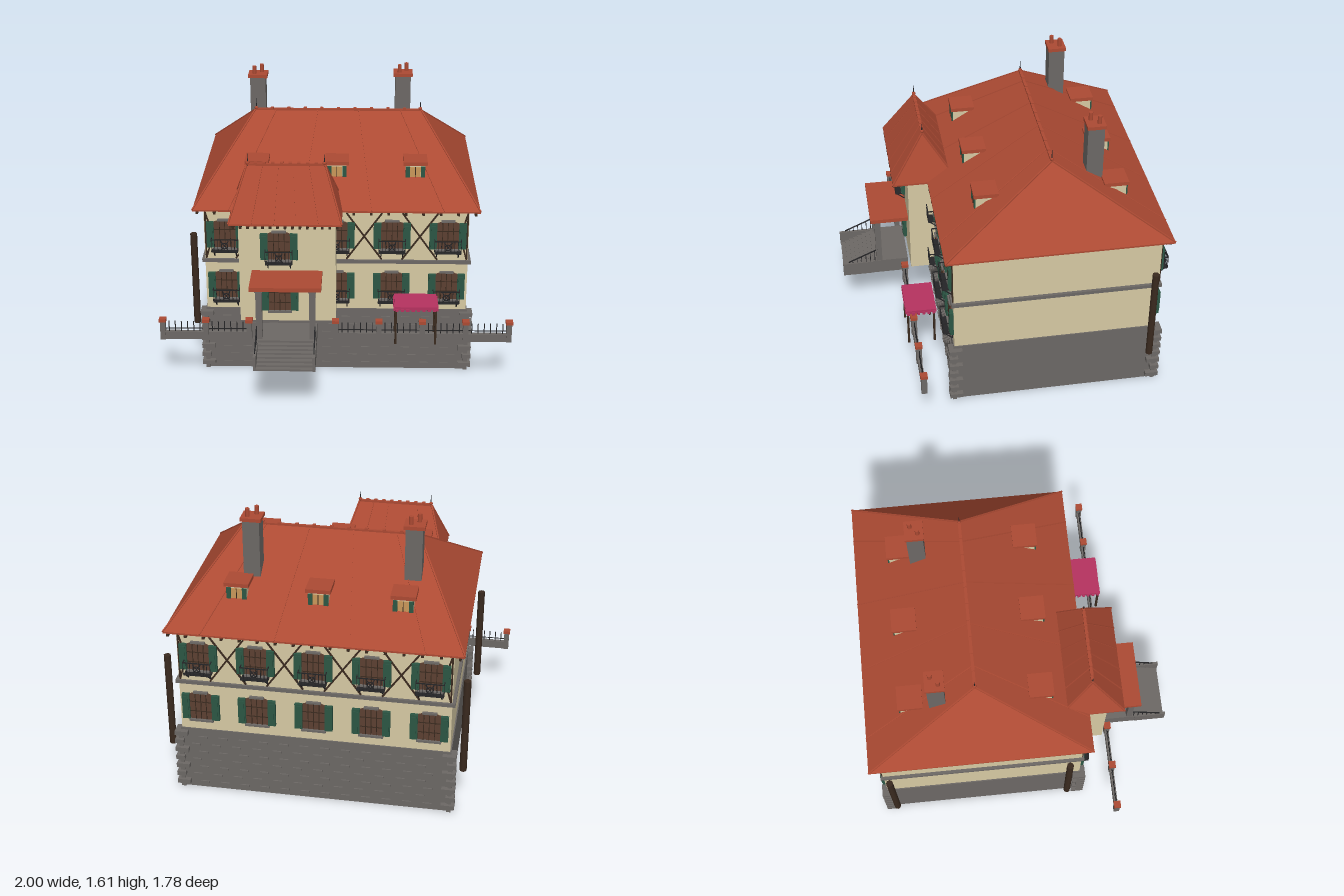
import * as THREE from 'three';
import { ConvexGeometry } from 'three/addons/geometries/ConvexGeometry.js';

const paint = (name, color) => {
  const m = new THREE.MeshStandardMaterial({ color });
  m.name = name;
  return m;
};

export function createModel() {
  const stone = paint('stone', 0x6c6865), wall = paint('plaster', 0xd6c9a3), roof = paint('roofTile', 0xac4a33);
  const green = paint('shutterGreen', 0x2c5644), wood = paint('darkTimber', 0x3a2a1f), glass = paint('windowBrown', 0x5c4032);
  const iron = paint('iron', 0x242426), pink = paint('canopyPink', 0xb5325f), amber = paint('amberPane', 0xc9985a);
  const model = new THREE.Group();
  const V = (x, y, z) => new THREE.Vector3(x, y, z);

  const group = (name, parent = model) => {
    const g = new THREE.Group();
    g.name = name;
    parent.add(g);
    return g;
  };
  const add = (parent, name, geo, mat) => {
    const m = new THREE.Mesh(geo, mat);
    m.name = name;
    parent.add(m);
    return m;
  };
  // Box given by its extents
  const box = (parent, name, mat, x0, x1, y0, y1, z0, z1) => {
    const m = add(parent, name, new THREE.BoxGeometry(x1 - x0, y1 - y0, z1 - z0), mat);
    m.position.set((x0 + x1) / 2, (y0 + y1) / 2, (z0 + z1) / 2);
    return m;
  };
  // Square bar between two points
  const bar = (parent, name, mat, a, b, w) => {
    const m = add(parent, name, new THREE.BoxGeometry(w, w, a.distanceTo(b)), mat);
    m.position.copy(a).lerp(b, 0.5);
    m.lookAt(b);
    return m;
  };

  // Main body: stone basement, plaster floors, band
  const W = 0.755, ZF = 0.325, ZB = -0.84;
  box(model, 'basement', stone, -W, W, 0, 0.39, ZB, ZF);
  box(model, 'walls', wall, -0.748, 0.748, 0.39, 1.01, ZB + 0.006, ZF - 0.005);
  box(model, 'floorBand', stone, -0.765, 0.765, 0.682, 0.702, ZB - 0.008, ZF + 0.008);
  box(model, 'eaveBeam', wood, -0.756, 0.756, 0.992, 1.008, ZB, ZF);
  box(model, 'towerWalls', wall, -0.54, 0, 0.39, 1.01, 0.2, 0.48);

  // Corner stones, alternating long and short
  const quoins = group('cornerStones');
  for (const sx of [-1, 1]) for (const [z, sz] of [[ZF, 1], [ZB, -1]]) for (let i = 0; i < 7; i++) {
    const l = i % 2 ? 0.05 : 0.075;
    const m = add(quoins, 'cornerStone', new THREE.BoxGeometry(l, 0.026, l), stone);
    m.position.set(sx * (W + 0.03 - l / 2), 0.04 + i * 0.054, z + sz * (0.028 - l / 2));
    box(quoins, 'cornerJoint', stone, sx * W - 0.012, sx * W + 0.012, i * 0.054, 0.03 + i * 0.054, z - 0.012, z + 0.012);
  }
  // Projecting stones on the front and back of the basement
  const studs = group('basementStones');
  for (const z of [ZF, ZB]) for (let r = 0; r < 7; r++) for (let c = 0; c < 12; c++) {
    const x = -0.66 + c * 0.115 + (r % 2) * 0.04;
    box(studs, 'basementStone', stone, x, x + 0.05, 0.03 + r * 0.05, 0.042 + r * 0.05, z - 0.008, z + 0.008);
  }

  // Hipped roofs with seams, ridge knobs, rafters and finials
  function hipRoof(name, cx, cz, hx, hz, rx, y0, y1, seams, knobs) {
    const g = group(name);
    const pts = [];
    for (const x of [-hx, hx]) for (const z of [-hz, hz]) pts.push(V(x, y0, z), V(x, y0 + 0.01, z));
    pts.push(V(-rx, y1, 0), V(rx, y1, 0));
    add(g, 'tiles', new ConvexGeometry(pts), roof);
    box(g, 'ridge', roof, -rx, rx, y1 - 0.006, y1 + 0.006, -0.008, 0.008);
    for (const s of [-1, 1]) {
      for (const t of seams)
        bar(g, 'seam', roof, V(t * hx, y0 + 0.01, s * hz), V(t * rx, y1, 0), 0.006);
      for (const e of [-1, 1])
        bar(g, 'hip', roof, V(e * hx, y0 + 0.01, s * hz), V(e * rx, y1, 0), 0.008);
      for (let i = 0; i <= knobs * 1.6; i++) {
        const x = (i / Math.floor(knobs * 1.6) * 2 - 1) * (hx - 0.025);
        box(g, 'rafterEnd', wood, x - 0.007, x + 0.007, y0 - 0.016, y0, s * hz - (s > 0 ? 0.045 : 0), s * hz + (s > 0 ? 0 : 0.045));
      }
      const f = add(g, 'finial', new THREE.ConeGeometry(0.006, 0.075, 6), iron);
      f.position.set(s * (rx - 0.004), y1 + 0.03, 0);
      const b = add(g, 'finialBase', new THREE.SphereGeometry(0.011, 8, 6), roof);
      b.position.set(s * (rx - 0.004), y1 + 0.008, 0);
    }
    for (let i = 1; i < knobs; i++) {
      const x = (i / knobs * 2 - 1) * rx;
      box(g, 'ridgeKnob', roof, x - 0.009, x + 0.009, y1, y1 + 0.013, -0.009, 0.009);
    }
    g.position.set(cx, 0, cz);
  }
  hipRoof('mainRoof', 0, -0.26, 0.805, 0.628, 0.487, 1.01, 1.405, [-0.75, -0.25, 0.25, 0.75], 10);
  hipRoof('towerRoof', -0.275, 0.38, 0.31, 0.187, 0.215, 1.01, 1.3, [-0.6, -0.2, 0.2, 0.6], 9);

  // Chimneys with caps and paired pots
  for (const [x, z] of [[-0.485, -0.47], [0.385, -0.512]]) {
    const g = group('chimney');
    box(g, 'shaft', stone, -0.046, 0.046, 1.1, 1.545, -0.046, 0.046);
    box(g, 'cap', roof, -0.057, 0.057, 1.545, 1.565, -0.052, 0.052);
    for (const s of [-1, 1]) {
      const p = add(g, 'pot', new THREE.CylinderGeometry(0.012, 0.012, 0.05, 10), roof);
      p.position.set(s * 0.021, 1.587, s * -0.02);
    }
    g.position.set(x, 0, z);
  }

  // Dormers on both roof slopes
  for (const side of [1, -1]) for (const x of [-0.455, 0, 0.445]) {
    const g = group('dormer');
    box(g, 'dormerBody', wall, -0.055, 0.055, 1.12, 1.22, 0.25, 0.418);
    box(g, 'dormerCap', roof, -0.068, 0.068, 1.216, 1.238, 0.292, 0.43);
    box(g, 'dormerPane', amber, -0.03, 0.03, 1.145, 1.205, 0.418, 0.422);
    box(g, 'dormerMullion', wood, -0.002, 0.002, 1.145, 1.205, 0.421, 0.425);
    for (const s of [-1, 1]) box(g, 'dormerShutter', green, s * 0.043 - 0.012, s * 0.043 + 0.012, 1.142, 1.208, 0.418, 0.426);
    g.position.set(x, 0, -0.26);
    if (side < 0) g.rotation.y = Math.PI;
  }

  // Window with arched head, shutters and optional iron balcony; y is the sill
  const arch = new THREE.Shape();
  arch.moveTo(-0.062, 0);
  arch.lineTo(0.062, 0);
  arch.lineTo(0.062, 0.155);
  arch.quadraticCurveTo(0, 0.185, -0.062, 0.155);
  const paneGeo = new THREE.ExtrudeGeometry(arch, { depth: 0.009, bevelEnabled: false, curveSegments: 6 });
  function windowUnit(x, y, z, dir, balcony) {
    const g = group('window');
    add(g, 'pane', paneGeo, glass);
    box(g, 'sill', stone, -0.068, 0.068, -0.012, 0, 0, 0.022);
    box(g, 'lintel', stone, -0.04, 0.04, 0.163, 0.174, 0, 0.016);
    for (const sx of [-0.03, 0, 0.03]) box(g, 'mullion', wood, sx - 0.002, sx + 0.002, 0, 0.16, 0.009, 0.013);
    for (const sy of [0.05, 0.11]) box(g, 'glazingBar', wood, -0.06, 0.06, sy - 0.002, sy + 0.002, 0.009, 0.013);
    for (const s of [-1, 1]) {
      box(g, 'shutter', green, s * 0.083 - 0.021, s * 0.083 + 0.021, 0.002, 0.157, 0, 0.02);
      box(g, 'shutterPanel', green, s * 0.083 - 0.013, s * 0.083 + 0.013, 0.015, 0.145, 0.02, 0.024);
    }
    if (balcony) {
      const b = group('balcony', g), d = 0.055, lo = -0.01, hi = 0.065, h = 0.075;
      box(b, 'balconyFloor', iron, -h, h, lo - 0.004, lo, 0, d);
      bar(b, 'topRail', iron, V(-h, hi, d), V(h, hi, d), 0.005);
      bar(b, 'lowRail', iron, V(-h, lo + 0.008, d), V(h, lo + 0.008, d), 0.004);
      for (let i = 0; i <= 8; i++) if (i !== 4) bar(b, 'baluster', iron, V(-h + i * h / 4, lo, d), V(-h + i * h / 4, hi, d), 0.003);
      const ring = add(b, 'ornament', new THREE.TorusGeometry(0.017, 0.003, 4, 12), iron);
      ring.position.set(0, 0.028, d);
      for (const s of [-1, 1]) {
        bar(b, 'cross', iron, V(-0.022, 0.028 - s * 0.03, d), V(0.022, 0.028 + s * 0.03, d), 0.004);
        bar(b, 'sideRail', iron, V(s * h, hi, 0), V(s * h, hi, d), 0.005);
        bar(b, 'bracket', iron, V(s * 0.062, -0.055, 0.002), V(s * 0.062, lo, d), 0.005);
        bar(b, 'bracketPost', iron, V(s * 0.062, -0.055, 0.003), V(s * 0.062, lo, 0.003), 0.005);
      }
    }
    g.position.set(x, y, z);
    if (dir < 0) g.rotation.y = Math.PI;
  }
  const face = ZF - 0.005, back = ZB + 0.006;
  for (let i = -2; i <= 2; i++) {
    const x = i * 0.315, tower = i === -1;
    windowUnit(x, 0.775, tower ? 0.48 : face, 1, true);
    windowUnit(x, 0.46, tower ? 0.48 : face, 1, !tower);
    windowUnit(x, 0.775, back, -1, true);
    windowUnit(x, 0.46, back, -1, false);
  }

  // Crossed timbers between upper windows
  const timber = group('timberFrame');
  for (const z of [face + 0.002, back - 0.002]) {
    for (const x of [-0.4725, -0.1575, 0.1575, 0.4725]) for (const s of [-1, 1])
      bar(timber, 'brace', wood, V(x - s * 0.1, 0.705, z), V(x + s * 0.1, 0.99, z), 0.009);
    for (const s of [-1, 1]) {
      bar(timber, 'endBrace', wood, V(s * 0.74, 0.705, z), V(s * 0.7, 0.847, z), 0.009);
      bar(timber, 'endBrace', wood, V(s * 0.7, 0.847, z), V(s * 0.74, 0.99, z), 0.009);
      bar(timber, 'cornerPost', wood, V(s * 0.74, 0.705, z), V(s * 0.74, 0.99, z), 0.009);
    }
  }

  // Timber poles beside the house
  for (const [x, z] of [[0.82, -0.79], [-0.82, -0.79], [-0.82, 0.24]]) {
    const p = add(model, 'pole', new THREE.CylinderGeometry(0.02, 0.02, 0.57, 8), wood);
    p.position.set(x, 0.535, z);
  }

  // Porch: landing, steps, cheeks, handrails, posts and flat roof
  const porch = group('porch');
  box(porch, 'landing', stone, -0.44, -0.105, 0.29, 0.378, 0.49, 0.7);
  for (let i = 0; i < 7; i++)
    box(porch, 'step', stone, -0.43, -0.115, 0.29, 0.366 - i * 0.011, 0.7 + i * 0.026, 0.726 + i * 0.026);
  for (const x of [-0.434, -0.111]) {
    box(porch, 'cheek', stone, x - 0.008, x + 0.008, 0.29, 0.374, 0.7, 0.885);
    bar(porch, 'handrail', iron, V(x, 0.38, 0.85), V(x, 0.46, 0.67), 0.006);
    for (let i = 0; i < 6; i++) {
      const z = 0.69 + i * 0.027;
      bar(porch, 'railBar', iron, V(x, 0.37, z), V(x, 0.38 + (0.85 - z) * 0.444, z), 0.004);
    }
  }
  for (const x of [-0.42, -0.125]) {
    box(porch, 'post', stone, x - 0.017, x + 0.017, 0.375, 0.68, 0.645, 0.68);
    box(porch, 'postHead', stone, x - 0.021, x + 0.021, 0.665, 0.68, 0.64, 0.685);
  }
  box(porch, 'porchRoof', roof, -0.47, -0.075, 0.68, 0.704, 0.47, 0.705);

  // Garden wall with capped piers and iron bars
  const fence = group('gardenWall');
  box(fence, 'lowWall', stone, -0.99, -0.475, 0.29, 0.338, 0.508, 0.53);
  box(fence, 'lowWall', stone, -0.015, 0.99, 0.29, 0.338, 0.508, 0.53);
  for (const x of [-0.98, -0.735, -0.49, 0, 0.245, 0.49, 0.735, 0.98]) {
    box(fence, 'pier', stone, x - 0.015, x + 0.015, 0.29, 0.4, 0.503, 0.535);
    box(fence, 'pierCap', roof, x - 0.02, x + 0.02, 0.4, 0.418, 0.499, 0.539);
    if (x === -0.49 || x === 0.98) continue;
    bar(fence, 'fenceRail', iron, V(x, 0.355, 0.519), V(x + 0.245, 0.355, 0.519), 0.004);
    for (let i = 1; i < 7; i++) bar(fence, 'fenceBar', iron, V(x + i * 0.035, 0.335, 0.519), V(x + i * 0.035, 0.4, 0.519), 0.005);
  }

  // Canopy on four posts with a scalloped edge
  const canopy = group('canopy');
  box(canopy, 'canopyTop', pink, 0.33, 0.57, 0.505, 0.525, 0.397, 0.568);
  for (const x of [0.338, 0.562]) for (const z of [0.41, 0.557])
    box(canopy, 'canopyPost', wood, x - 0.006, x + 0.006, 0.29, 0.507, z - 0.006, z + 0.006);
  for (const x of [0.328, 0.572]) for (let i = 0; i < 6; i++)
    box(canopy, 'scallop', pink, x - 0.004, x + 0.004, 0.498, 0.515, 0.402 + i * 0.029, 0.418 + i * 0.029);
  for (const z of [0.398, 0.567]) for (let i = 0; i < 8; i++)
    box(canopy, 'scallop', pink, 0.335 + i * 0.03, 0.353 + i * 0.03, 0.498, 0.51, z - 0.004, z + 0.004);

  return model;
}
